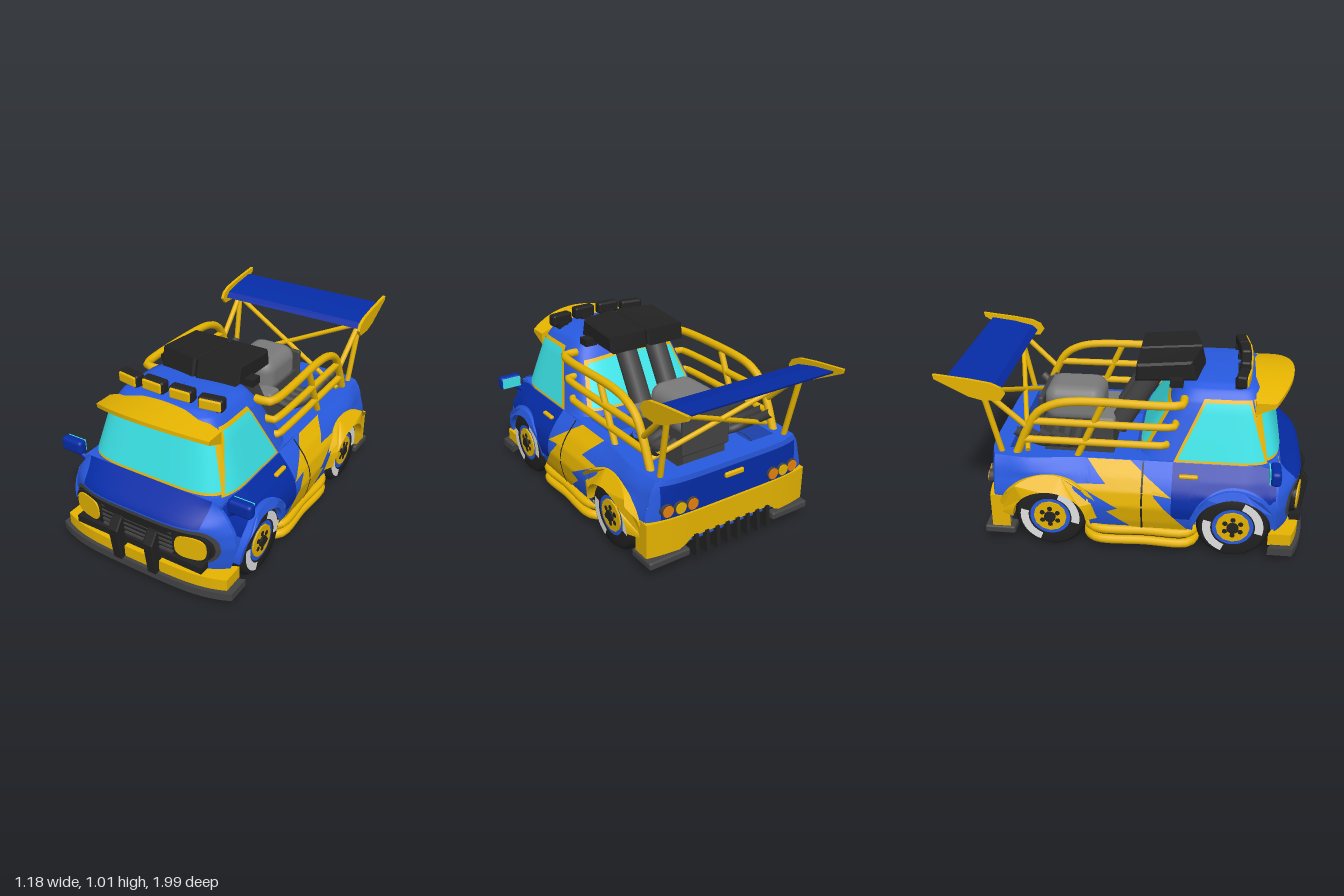
import * as THREE from 'three';
import { RoundedBoxGeometry } from 'three/addons/geometries/RoundedBoxGeometry.js';

const paint = (name, color, open) => {
  const m = new THREE.MeshStandardMaterial({ color });
  m.name = name;
  if (open) m.side = THREE.DoubleSide;
  return m;
};
const blue = paint('bright blue', 0x285ae0, true), navy = paint('dark blue', 0x062ca6), yellow = paint('yellow', 0xe6b400),
  glass = paint('cyan glass', 0x3ce6ea), black = paint('black', 0x222222, true), dark = paint('dark grey', 0x434343),
  grey = paint('grey', 0x7a7a7a), white = paint('white', 0xe2e2e2), orange = paint('orange', 0xe8800c);

const lerp = THREE.MathUtils.lerp, smooth = THREE.MathUtils.smoothstep;
// Piecewise linear lookup of column k by the first column
function look(rows, t, k = 1) {
  if (t <= rows[0][0]) return rows[0][k];
  for (let i = 1; i < rows.length; i++) {
    const [a, b] = [rows[i - 1], rows[i]];
    if (t <= b[0]) return lerp(a[k], b[k], (t - a[0]) / (b[0] - a[0]));
  }
  return rows[rows.length - 1][k];
}
function warp(geo, fn) {
  const p = geo.attributes.position;
  for (let i = 0; i < p.count; i++) p.setXYZ(i, ...fn(p.getX(i), p.getY(i), p.getZ(i)));
  geo.computeVertexNormals();
  return geo;
}
// Sheet from fn(u, v), both 0..1
const sheet = (nu, nv, fn) => warp(new THREE.PlaneGeometry(1, 1, nu, nv), (x, y) => fn(x + 0.5, y + 0.5));
const box = (w, h, d, x, y, z) => new THREE.BoxGeometry(w, h, d).translate(x, y, z);
const rbox = (w, h, d, r, x, y, z) => new RoundedBoxGeometry(w, h, d, 3, r).translate(x, y, z);
const tube = (pts, r) => new THREE.TubeGeometry(
  new THREE.CatmullRomCurve3(pts.map(p => new THREE.Vector3(...p)), false, 'centripetal'), 28, r, 10);
function rod(a, b, r) {
  const A = new THREE.Vector3(...a), d = new THREE.Vector3(...b).sub(A);
  return new THREE.CylinderGeometry(r, r, d.length(), 12)
    .applyQuaternion(new THREE.Quaternion().setFromUnitVectors(new THREE.Vector3(0, 1, 0), d.clone().normalize()))
    .translate(...A.addScaledVector(d, 0.5).toArray());
}
// Side outline (a shape in -z, y) extruded from x0 to x1
const outline = pts => new THREE.Shape(pts.map(([z, y]) => new THREE.Vector2(-z, y)));
const slab = (shape, x0, x1, bevel = 0) => new THREE.ExtrudeGeometry(shape, {
  depth: x1 - x0 - 2 * bevel, bevelEnabled: bevel > 0, bevelSize: bevel, bevelOffset: -bevel,
  bevelThickness: bevel, bevelSegments: 1, curveSegments: 28 }).translate(0, 0, x0 + bevel).rotateY(Math.PI / 2);
function mirrored(geo) {
  const g = geo.index ? geo.toNonIndexed() : geo.clone();
  g.scale(-1, 1, 1);
  for (const a of Object.values(g.attributes)) {
    for (let i = 0; i < a.count; i += 3) for (let k = 0; k < a.itemSize; k++) {
      const t = a.getComponent(i + 1, k);
      a.setComponent(i + 1, k, a.getComponent(i + 2, k));
      a.setComponent(i + 2, k, t);
    }
  }
  return g;
}

// Lower body: half width by height, tapered to nose and tail
const WHEELS = [0.575, -0.41];
const BODY = [[0.13, 0.50], [0.2, 0.525], [0.3, 0.545], [0.38, 0.53], [0.45, 0.49], [0.52, 0.43]];
const W = (z, y) => look(BODY, y) * (1 - 0.06 * smooth(z, 0.6, 0.8) - 0.05 * smooth(-z, 0.5, 0.72))
  + 0.04 * smooth(-z, 0.2, 0.6) * smooth(y, 0.38, 0.52);
const NOSE = [[0.13, 0.90], [0.3, 0.92], [0.42, 0.935], [0.53, 0.80]];
const frontZ = (x, y) => lerp(0.80, look(NOSE, y), 1 - Math.min(1, Math.abs(x / W(0.8, y))) ** 4);
const rearZ = (x, y) => -0.71 - 0.04 * (1 - Math.min(1, Math.abs(x / W(-0.71, y))) ** 6);
const arch = (z, r, base) => WHEELS.reduce((m, c) =>
  Math.abs(z - c) < r ? Math.max(m, 0.2 + Math.sqrt(r * r - (z - c) ** 2)) : m, base);
// Cab rows: height, half width, front z, back z
const CAB = [[0.50, 0.43, 0.81, 0.03], [0.55, 0.415, 0.795, 0.06], [0.82, 0.335, 0.72, 0.22], [0.88, 0.29, 0.69, 0.26],
  [0.905, 0.24, 0.65, 0.31], [0.915, 0.15, 0.58, 0.38], [0.92, 0.002, 0.48, 0.47]];
const cab = y => { const f = look(CAB, y, 2), b = look(CAB, y, 3); return { w: look(CAB, y), c: (f + b) / 2, h: (f - b) / 2 }; };
const bulge = t => (1 - Math.min(1, Math.abs(t)) ** 5) ** 0.2;
const quad = (q, u, v, k) => lerp(lerp(q[0][k], q[1][k], u), lerp(q[3][k], q[2][k], u), v);

export function createModel() {
  const root = new THREE.Group();
  root.name = 'customPickup';
  const add = (name, geo, mat, parent = root) => {
    const m = new THREE.Mesh(geo, mat);
    m.name = name;
    parent.add(m);
  };
  const pair = (name, geo, mat) => { add(name + 'Left', geo, mat); add(name + 'Right', mirrored(geo), mat); };
  const onSide = (q, off) => sheet(10, 10, (u, v) => {
    const z = quad(q, u, v, 0), y = quad(q, u, v, 1);
    return [W(z, y) + off, y, z];
  });

  // Body shell
  pair('bodySide', sheet(120, 12, (u, v) => {
    const z = lerp(0.80, -0.71, u), y = lerp(arch(z, 0.215, 0.13), 0.52, v);
    return [W(z, y), y, z];
  }), blue);
  add('nose', sheet(40, 24, (u, v) => {
    const y = lerp(0.13, 0.53, v), x = (2 * u - 1) * W(0.8, y);
    return [x, y, frontZ(x, y)];
  }), blue);
  add('hood', sheet(30, 6, (u, v) => {
    const y = lerp(0.41, 0.53, v), x = (2 * u - 1) * lerp(0.36, 0.38, v);
    return [x, y + 0.004, frontZ(x, y) + 0.007];
  }), navy);
  add('rearWall', sheet(40, 10, (u, v) => {
    const y = lerp(0.13, 0.52, v), x = (1 - 2 * u) * W(-0.71, y);
    return [x, y, rearZ(x, y)];
  }), blue);
  add('cabDeck', box(0.85, 0.12, 0.75, 0, 0.46, 0.425), blue);
  add('floor', box(0.74, 0.03, 1.45, 0, 0.25, 0.07), blue);
  add('bedFloor', box(0.80, 0.03, 0.74, 0, 0.375, -0.32), blue);
  pair('bedWall', box(0.03, 0.16, 0.76, 0.38, 0.439, -0.33), blue);
  pair('bedRim', sheet(20, 1, (u, v) => {
    const z = lerp(-0.71, 0.06, u);
    return [lerp(0.365, W(z, 0.52), v), 0.52, z];
  }), blue);
  add('tailgateWall', box(0.80, 0.16, 0.03, 0, 0.439, -0.665), blue);
  add('tailgateRim', sheet(1, 30, (u, v) => {
    const x = (2 * v - 1) * W(-0.71, 0.52);
    return [x, 0.521, lerp(rearZ(x, 0.52), -0.65, u)];
  }), blue);
  add('tailgate', sheet(24, 4, (u, v) => {
    const y = lerp(0.31, 0.495, v), x = (1 - 2 * u) * 0.44;
    return [x, y, rearZ(x, y) - 0.007];
  }), navy);

  // Doors, bolts and seams on the sides
  pair('door', sheet(50, 10, (u, v) => {
    const z = lerp(0.79, 0.245, u), y = lerp(arch(z, 0.23, 0.235 + 0.13 * smooth(z, 0.70, 0.79)), 0.521, v);
    return [W(z, y) + 0.007, y, z];
  }), navy);
  pair('doorSeam', onSide([[0.094, 0.13], [0.084, 0.13], [0.084, 0.52], [0.094, 0.52]], 0.010), black);
  pair('boltTop', onSide([[0.25, 0.36], [-0.10, 0.41], [-0.21, 0.521], [0.02, 0.521]], 0.006), yellow);
  pair('boltMiddle', onSide([[0.16, 0.345], [-0.01, 0.27], [-0.26, 0.41], [0.13, 0.42]], 0.007), yellow);
  pair('boltBottom', onSide([[0.34, 0.15], [0.04, 0.15], [-0.10, 0.26], [0.15, 0.365]], 0.008), yellow);
  pair('doorHandle', rbox(0.025, 0.02, 0.1, 0.008, 0.49, 0.47, 0.33), yellow);

  // Wheel arches, flared outwards to a ridge, and liners
  const RIDGE = [[[0.2, 0.53], [0.355, 0.55], [0.43, 0.522]], [[0.2, 0.555], [0.37, 0.573], [0.445, 0.512]]];
  WHEELS.forEach((c, i) => {
    const s = new THREE.Shape();
    const [rx, ry] = i ? [0.285, 0.245] : [0.225, 0.215];
    s.absellipse(-c, 0.2, rx, ry, 0, Math.PI, false);
    s.absellipse(-c, 0.2, 0.197, 0.172, Math.PI, 0, true);
    pair(i ? 'rearArch' : 'frontArch', warp(slab(s, 0.45, 0.56), (x, y, z) => {
      const edge = i ? 0.045 * smooth(Math.abs(z - c), 0.2, 0.285) : 0;
      return [x > 0.5 ? look(RIDGE[i], y) - edge : x, y, z];
    }), i ? yellow : blue);
    pair('wheelLiner', new THREE.CylinderGeometry(0.215, 0.215, 0.14, 24, 1, true, 0, Math.PI)
      .rotateZ(Math.PI / 2).translate(0.43, 0.2, c), black);
  });

  // Cab with its windows
  add('cab', sheet(96, 24, (u, v) => {
    const t = v * (CAB.length - 1), i = Math.min(CAB.length - 2, Math.floor(t));
    const y = lerp(CAB[i][0], CAB[i + 1][0], t - i), { w, c, h } = cab(y), a = u * 2 * Math.PI;
    const p = q => Math.sign(q) * Math.abs(q) ** 0.4;
    return [w * p(Math.sin(a)), y, c + h * p(Math.cos(a))];
  }), blue);
  const screen = (k, y0, y1, off, dir) => sheet(32, 10, (u, v) => {
    const s = 2 * u - 1, y = lerp(y0, y1 - 0.02 * s * s, v), { w, c, h } = cab(y);
    return [dir * s * k * w * 1.01, y, c + dir * (h * bulge(s * k) + off)];
  });
  const sideWindow = (q, off) => sheet(16, 10, (u, v) => {
    const z = quad(q, u, v, 0), y = quad(q, u, v, 1), { w, c, h } = cab(y);
    return [w * bulge((z - c) / h) + off, y, z];
  });
  add('windshieldFrame', screen(0.96, 0.535, 0.865, 0.008, 1), yellow);
  add('windshield', screen(0.925, 0.552, 0.85, 0.015, 1), glass);
  add('rearWindowFrame', screen(0.86, 0.55, 0.82, 0.006, -1), yellow);
  add('rearWindow', screen(0.81, 0.565, 0.805, 0.012, -1), glass);
  pair('sideWindowFrame', sideWindow([[0.74, 0.518], [0.245, 0.518], [0.395, 0.845], [0.64, 0.845]], 0.006), yellow);
  pair('sideWindow', sideWindow([[0.725, 0.535], [0.268, 0.535], [0.405, 0.83], [0.63, 0.83]], 0.012), glass);
  add('sunVisor', warp(new THREE.BoxGeometry(2, 1, 1, 24, 1, 3), (x, y, z) => {
    const X = x * 0.34, t = z + 0.5;
    return [X, 0.908 - 0.58 * X * X - (0.5 - y) * lerp(0.07, 0.022, t), lerp(0.66, 0.87 - 0.9 * X * X, t)];
  }), yellow);

  // Bumpers
  const bumper = (hw, y0, y1, z, sweep, depth, lift = 0) => warp(new THREE.BoxGeometry(2, 1, 1, 28, 1, 1), (x, y, d) =>
    [x * hw, lerp(y0 + lift * (1 - smooth(Math.abs(x), 0.5, 0.62)), y1, y + 0.5), z - sweep * x ** 4 - (0.5 - d) * depth]);
  add('frontBumper', bumper(0.51, 0.085, 0.155, 0.945, 0.06, 0.12), yellow);
  add('frontLip', bumper(0.545, 0.045, 0.088, 0.965, 0.07, 0.13), dark);
  add('rearBumper', bumper(0.522, 0.11, 0.305, 0.765, 0.03, 0.10, 0.05).rotateY(Math.PI), yellow);
  add('rearValance', box(0.9, 0.04, 0.12, 0, 0.125, -0.675), black);
  pair('rearLip', rbox(0.25, 0.045, 0.17, 0.012, 0.405, 0.085, -0.695), dark);
  const fin = outline([[-0.66, 0.17], [-0.775, 0.17], [-0.79, 0.045], [-0.74, 0.05]]);
  for (let i = -3.5; i <= 3.5; i++) add('diffuserFin', slab(fin, i * 0.068 - 0.011, i * 0.068 + 0.011), black);

  // Grille, headlamps and bull bar
  const grille = (hw, h, off) => sheet(48, 8, (u, v) => {
    const x = hw * Math.sin((u - 0.5) * Math.PI), e = Math.max(0, (Math.abs(x) - hw + h) / h);
    const y = 0.3 + (2 * v - 1) * h * Math.sqrt(Math.max(0, 1 - e * e));
    return [x, y, frontZ(x, y) + off];
  });
  add('grilleFrame', grille(0.455, 0.103, 0.006), dark);
  add('grille', grille(0.435, 0.088, 0.012), black);
  for (let i = 0; i < 5; i++) add('grilleSlat', box(0.44, 0.011, 0.02, 0, 0.24 + i * 0.03, 0.926), dark);
  const lamp = (r, len) => warp(new THREE.CylinderGeometry(r * 0.94, r, len, 32).rotateX(Math.PI / 2), (x, y, z) => {
    const k = Math.hypot(x, y) / (Math.cbrt(Math.abs(x) ** 3 + Math.abs(y) ** 3) || 1);
    return [x * k, y * k * 0.76, z];
  }).rotateY(0.2).translate(0.317, 0.303, 0.893);
  pair('headlampRing', lamp(0.106, 0.05), black);
  pair('headlamp', lamp(0.09, 0.066), yellow);
  add('grilleBar', box(0.79, 0.04, 0.06, 0, 0.2, 0.908), black);
  pair('bullBar', slab(outline([[0.90, 0.35], [0.95, 0.34], [0.995, 0.28], [0.97, 0.08], [0.92, 0.08]]), 0.08, 0.14, 0.006), black);

  // Tail lamps and handle
  [0.265, 0.337, 0.409].forEach((x, i) => {
    const disc = (r, l) => new THREE.CylinderGeometry(r, r, l, 18).rotateX(Math.PI / 2).translate(x, 0.36, rearZ(x, 0.36) - 0.005);
    pair('tailLampRing', disc(0.036, 0.028), dark);
    pair('tailLamp', disc(0.031, 0.04), i === 1 ? yellow : orange);
  });
  add('tailgateHandle', rbox(0.12, 0.028, 0.03, 0.008, 0, 0.45, -0.757), yellow);

  // Mirrors
  pair('mirror', rbox(0.135, 0.08, 0.055, 0.02, 0.523, 0.535, 0.775), navy);
  pair('mirrorGlass', box(0.115, 0.062, 0.006, 0.523, 0.535, 0.746), glass);
  pair('mirrorArm', rod([0.43, 0.45, 0.76], [0.5, 0.51, 0.775], 0.016), navy);

  // Wheels
  const tireProfile = [[0.11, -0.075], [0.17, -0.075], [0.195, -0.05], [0.195, 0.05], [0.172, 0.075], [0.11, 0.075]];
  const disc = (r, len, x, n = 28) => new THREE.CylinderGeometry(r, r, len, n).rotateZ(-Math.PI / 2).translate(x, 0, 0);
  for (const z of WHEELS) for (const s of [1, -1]) {
    const wheel = new THREE.Group();
    wheel.name = 'wheel';
    wheel.position.set(s * 0.45, 0.195, z);
    wheel.rotation.y = s > 0 ? 0 : Math.PI;
    root.add(wheel);
    const tire = new THREE.LatheGeometry(tireProfile.map(p => new THREE.Vector2(...p)), 40).rotateZ(-Math.PI / 2);
    add('tire', tire, black, wheel);
    add('brakeDrum', disc(0.115, 0.1, -0.015), black, wheel);
    for (const a of [-0.25, Math.PI - 0.25])
      add('whitewall', new THREE.RingGeometry(0.118, 0.162, 14, 1, a, 1.45).rotateY(Math.PI / 2).translate(0.079, 0, 0), white, wheel);
    add('rimRing', disc(0.117, 0.04, 0.05), blue, wheel);
    add('rim', disc(0.09, 0.02, 0.069, 12), yellow, wheel);
    add('hub', disc(0.032, 0.03, 0.075, 12), black, wheel);
    for (let i = 0; i < 6; i++)
      add('rimHole', disc(0.014, 0.004, 0.08, 8).translate(0, 0.048 * Math.cos(i * Math.PI / 3), 0.048 * Math.sin(i * Math.PI / 3)), black, wheel);
  }

  // Side steps and bed rails
  for (const y of [0.065, 0.13]) pair('sideStep', tube([[0.28, y, 0.37], [0.46, y, 0.37], [0.51, y, 0.33], [0.51, y, 0.1],
    [0.51, y, -0.16], [0.46, y, -0.21], [0.28, y, -0.21]], 0.025), yellow);
  pair('topRail', tube([[0.31, 0.835, 0.29], [0.385, 0.835, 0.285], [0.405, 0.835, 0.24], [0.405, 0.835, -0.27], [0.405, 0.815, -0.38],
    [0.405, 0.765, -0.47], [0.405, 0.66, -0.535], [0.405, 0.51, -0.6]], 0.023), yellow);
  pair('middleRail', tube([[0.34, 0.71, 0.25], [0.395, 0.71, 0.245], [0.405, 0.71, 0.2], [0.405, 0.71, -0.51]], 0.02), yellow);
  pair('lowerRail', tube([[0.37, 0.6, 0.21], [0.40, 0.6, 0.2], [0.405, 0.6, 0.15], [0.405, 0.6, -0.56]], 0.02), yellow);
  pair('railPost', rod([0.405, 0.82, -0.13], [0.405, 0.51, -0.27], 0.018), yellow);

  // Rear wing on braced struts
  add('wing', slab(outline([[-0.66, 0.885], [-0.69, 0.915], [-0.80, 0.94], [-0.935, 0.957], [-0.93, 0.945], [-0.80, 0.905], [-0.70, 0.875]]),
    -0.465, 0.465), navy);
  pair('wingEndPlate', slab(outline([[-0.62, 0.89], [-0.64, 0.925], [-0.69, 0.948], [-0.80, 0.965], [-0.99, 0.985], [-0.985, 0.96],
    [-0.81, 0.87], [-0.74, 0.852], [-0.645, 0.855]]), 0.462, 0.48), yellow);
  pair('wingStrut', rod([0.405, 0.66, -0.52], [0.42, 0.88, -0.75], 0.016), yellow);
  pair('wingPost', rod([0.405, 0.51, -0.68], [0.42, 0.89, -0.76], 0.016), yellow);
  pair('wingBrace', rod([-0.40, 0.53, -0.54], [0.42, 0.88, -0.74], 0.014), yellow);

  // Roof lamps and intake scoop
  [[0.083, 0.952, 0.605, 0.05], [0.245, 0.938, 0.59, 0.16]].forEach(([x, y, z, a]) => {
    pair('roofLampHousing', rbox(0.135, 0.07, 0.06, 0.015, 0, 0, 0).rotateY(a).translate(x, y, z), black);
    pair('roofLamp', rbox(0.118, 0.056, 0.02, 0.009, 0, 0, 0.028).rotateY(a).translate(x, y, z), yellow);
    pair('roofLampFoot', box(0.06, 0.06, 0.04, x, y - 0.04, z - 0.02), black);
  });
  pair('intakeScoop', warp(slab(outline([[0.395, 0.905], [0.37, 1.012], [0.03, 0.985], [0.02, 0.89]]), 0.003, 0.24, 0.012),
    (x, y, z) => [x, y, z - (z > 0.2 ? 0.2 * x : 0)]), black);
  pair('scoopLug', box(0.07, 0.04, 0.07, 0.255, 0.905, 0.245), black);
  pair('intakePipe', rod([0.1, 0.92, 0.13], [0.1, 0.55, -0.09], 0.06), dark);

  // Engine in the bed
  add('engineBlock', box(0.28, 0.22, 0.4, 0, 0.49, -0.31), dark);
  add('blower', rbox(0.28, 0.22, 0.34, 0.075, 0, 0.665, -0.335), grey);
  add('blowerFront', rbox(0.38, 0.06, 0.11, 0.02, 0, 0.60, -0.15), grey);
  add('blowerBack', rbox(0.31, 0.25, 0.03, 0.012, 0, 0.60, -0.515), dark);
  for (let i = 0; i < 4; i++) {
    const z = -0.24 - i * 0.065;
    pair('exhaustPipe', tube([[0.12, 0.53, z], [0.22, 0.50, z - 0.01], [0.30, 0.53, z - 0.05], [0.345, 0.59, z - 0.13], [0.365, 0.63, z - 0.18]], 0.025), dark);
  }

  // Chassis
  pair('frameRail', box(0.09, 0.07, 1.35, 0.2, 0.185, 0.06), dark);
  for (const z of [0.7, 0.3, -0.15, -0.58]) add('crossMember', box(0.46, 0.045, 0.06, 0, 0.18, z), dark);
  for (const z of WHEELS) add('axle', rod([-0.42, 0.195, z], [0.42, 0.195, z], 0.03), dark);
  add('differential', new THREE.SphereGeometry(0.075, 18, 12).translate(0, 0.195, -0.41), dark);
  add('driveShaft', rod([0, 0.19, -0.4], [0, 0.19, 0.25], 0.028), dark);
  add('gearbox', rbox(0.17, 0.12, 0.36, 0.03, 0, 0.18, 0.4), dark);
  return root;
}
